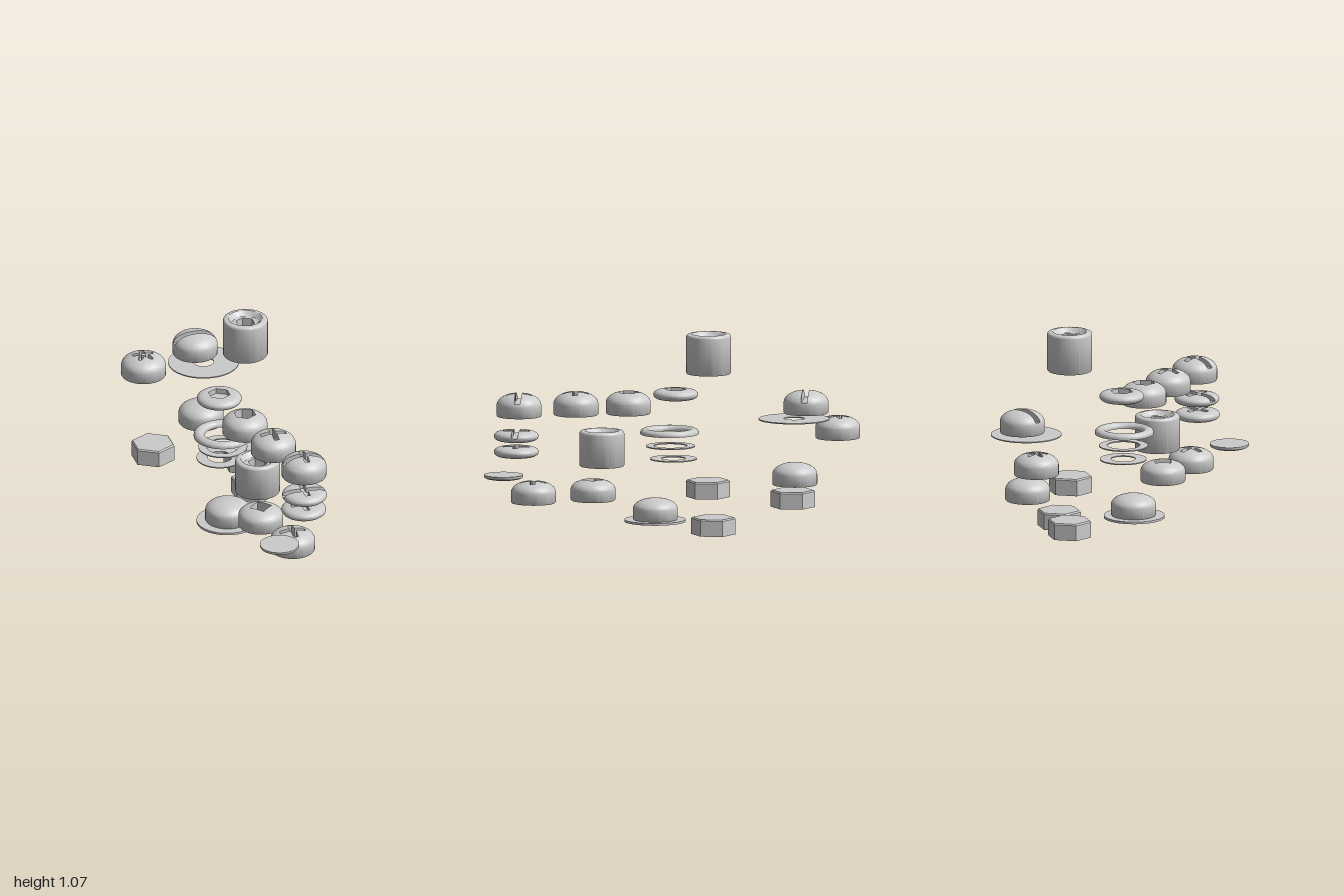
import * as THREE from 'three';
import { toCreasedNormals } from 'three/addons/utils/BufferGeometryUtils.js';

const material = new THREE.MeshStandardMaterial({ color: 0xcccccc });
const R = 0.12;
const STEPS = 192;

// Recess outlines: distance from the axis for each angle
const rect = (a, b) => t =>
  Math.min(a / Math.max(Math.abs(Math.cos(t)), 1e-6), b / Math.max(Math.abs(Math.sin(t)), 1e-6));
const either = (f, g) => t => Math.max(f(t), g(t));
const polygon = (n, radius) => t => {
  const s = (2 * Math.PI) / n;
  const a = (((t - Math.PI / 2) % s) + s) % s;
  return (radius * Math.cos(s / 2)) / Math.cos(a - s / 2);
};
const slot = rect(1, 0.017);
const cross = either(rect(0.07, 0.014), rect(0.014, 0.07));
const combo = either(slot, cross);
const hex = polygon(6, 0.06);
const capHex = polygon(6, 0.052);
const square = polygon(4, 0.06);
const star = t => 0.043 + 0.02 * Math.cos(5 * (t + Math.PI / 2));
const none = () => 0.004;

// Head made of rings: recess floor, recess wall, top surface, then the outer wall
function headGeometry({ radius = R, top, lower, recess = none, floor = 1 }) {
  let reach = radius * 0.999;
  while (reach > 0.005 && top(reach) < floor && floor < 1) reach -= 0.0005;
  const rings = [];
  const ring = fn => rings.push(Array.from({ length: STEPS }, (_, i) => {
    const t = (i / STEPS) * Math.PI * 2;
    const [r, y] = fn(Math.min(recess(t), reach));
    return [r * Math.cos(t), y, r * Math.sin(t)];
  }));
  ring(() => [0, Math.min(top(0), floor)]);
  ring(p => [p, Math.min(top(p), floor)]);
  for (let k = 0; k <= 12; k++) {
    const s = Math.sin((k / 12) * Math.PI / 2);
    ring(p => {
      const r = p + (radius - p) * s;
      return [r, top(Math.min(r, radius))];
    });
  }
  for (const point of lower) ring(() => point);
  const index = [];
  const same = (a, b) => Math.hypot(a[0] - b[0], a[1] - b[1], a[2] - b[2]) < 1e-7;
  const flat = rings.flat();
  const tri = (a, b, c) => {
    if (!same(flat[a], flat[b]) && !same(flat[b], flat[c]) && !same(flat[a], flat[c])) index.push(a, b, c);
  };
  for (let k = 0; k < rings.length - 1; k++) {
    for (let i = 0; i < STEPS; i++) {
      const j = (i + 1) % STEPS;
      const a = k * STEPS + i, b = k * STEPS + j;
      tri(a, b, a + STEPS);
      tri(b, b + STEPS, a + STEPS);
    }
  }
  const g = new THREE.BufferGeometry();
  g.setAttribute('position', new THREE.Float32BufferAttribute(flat.flat(), 3));
  g.setIndex(index);
  return toCreasedNormals(g, 0.6);
}

const base = [[R, 0.006], [R - 0.004, 0], [0, 0]];

// Rounded screw head with a short straight wall
function domeHead(height, recess, floor) {
  const wall = 0.058;
  const top = r => wall + (height - wall) * Math.sqrt(Math.max(0, 1 - (r / R) ** 2.2));
  return headGeometry({ top, lower: base, recess, floor });
}

// Tall cylindrical head with a dished socket
function capHead(height) {
  const top = r => height - 0.016 + 0.016 * Math.sqrt(Math.max(0, 1 - (r / R) ** 14))
    - 0.025 * (1 - THREE.MathUtils.smoothstep(r, 0.066, 0.092));
  return headGeometry({ top, lower: base, recess: capHex, floor: height - 0.1 });
}

// Thin head with a fully rounded edge
function discHead(recess) {
  const half = 0.029;
  const bulge = r => half * Math.sqrt(Math.max(0, 1 - (r / R) ** 5));
  const lower = [];
  for (let k = 1; k <= 10; k++) {
    const r = R * Math.cos((k / 10) * Math.PI / 2);
    lower.push([r, half - bulge(r)]);
  }
  return headGeometry({ top: r => half + bulge(r), lower, recess, floor: 0.03 });
}

// Flat-topped shallow dish
function dishHead() {
  const lower = [[0.105, 0.018], [0.102, 0.012], [0.09, 0.006], [0.07, 0.002], [0.05, 0], [0, 0]];
  return headGeometry({ radius: 0.105, top: () => 0.027, lower });
}

// Hexagonal bolt head with a small bevel on the top edge
function hexHead() {
  const corner = 0.119;
  const pts = [[0, 0], [corner, 0], [corner, 0.084], [corner - 0.007, 0.091], [0, 0.091]];
  const g = new THREE.LatheGeometry(pts.map(p => new THREE.Vector2(...p)), 6);
  return toCreasedNormals(g, 0.3);
}

// Ring turned from a closed section
function turned(pts) {
  const g = new THREE.LatheGeometry([...pts, pts[0]].map(p => new THREE.Vector2(...p)), 64);
  return toCreasedNormals(g, 0.6);
}
const washer = (inner, outer, h) => turned([[inner, 0], [outer, 0], [outer, h], [inner, h]]);

// Ring with a flat underside and a rounded upper side
function roundedRing(inner, outer, h) {
  const pts = [[inner, 0], [outer, 0]];
  const mid = (inner + outer) / 2, w = (outer - inner) / 2;
  for (let k = 0; k <= 10; k++) {
    const a = (k / 10) * Math.PI;
    pts.push([mid + w * Math.cos(a), 0.008 + (h - 0.008) * Math.sin(a)]);
  }
  return turned(pts);
}

export function createModel() {
  const group = new THREE.Group();
  group.name = 'fastenerHeads';
  const add = (name, geometry, x, y, z) => {
    const mesh = new THREE.Mesh(geometry, material);
    mesh.name = name;
    mesh.position.set(x, y, z);
    group.add(mesh);
  };

  // Socket cap heads
  add('tallCapHead', capHead(0.215), 0.168, 0.86, -0.216);
  add('lowerCapHead', capHead(0.192), 0.071, 0.34, 0.365);

  // Rounded heads with their drives
  add('comboDriveHead', domeHead(0.125, combo, 0.08), 0.205, 0.622, 0.798);
  add('crossDriveHead', domeHead(0.125, cross, 0.07), 0.12, 0.622, 0.5);
  add('hexDriveHead', domeHead(0.122, hex, 0.06), 0.04, 0.62, 0.226);
  add('slottedHead', domeHead(0.124, slot, 0.07), 0.034, 0.633, -0.727);
  add('starDriveHead', domeHead(0.121, star, 0.07), -0.21, 0.466, -0.876);
  add('starDrivePin', new THREE.CylinderGeometry(0.013, 0.013, 0.05, 20), -0.21, 0.56, -0.876);
  add('lowerCrossHead', domeHead(0.118, cross, 0.065), 0.163, 0.15, 0.724);
  add('squareDriveHead', domeHead(0.115, square, 0.06), 0.075, 0.155, 0.412);
  add('plainDomeHead', domeHead(0.12), 0.05, 0.248, -0.668);
  add('flangedDome', domeHead(0.115), -0.016, 0.042, 0.086);

  // Thin round-edged heads
  add('hexDiscHead', discHead(hex), -0.032, 0.687, -0.022);
  add('upperDiscHead', discHead(combo), 0.204, 0.486, 0.813);
  add('lowerDiscHead', discHead(cross), 0.2, 0.4, 0.813);
  add('dishHead', dishHead(), 0.042, 0.255, 0.895);

  // Hexagonal heads
  add('leftHexHead', hexHead(), 0.217, 0, -0.245);
  add('middleHexHead', hexHead(), 0.165, 0.194, -0.212);
  add('rightHexHead', hexHead(), -0.226, 0.088, -0.634);

  // Washers and flange
  add('wideWasher', washer(0.055, 0.189, 0.006), 0.063, 0.602, -0.665);
  add('domeFlange', washer(0.06, 0.163, 0.012), -0.02, 0.03, 0.088);
  add('roundedRing', roundedRing(0.1, 0.157, 0.03), -0.02, 0.504, 0.01);
  add('upperWasher', washer(0.088, 0.131, 0.006), -0.02, 0.435, 0.005);
  add('lowerWasher', washer(0.065, 0.125, 0.006), -0.032, 0.365, -0.01);
  return group;
}
